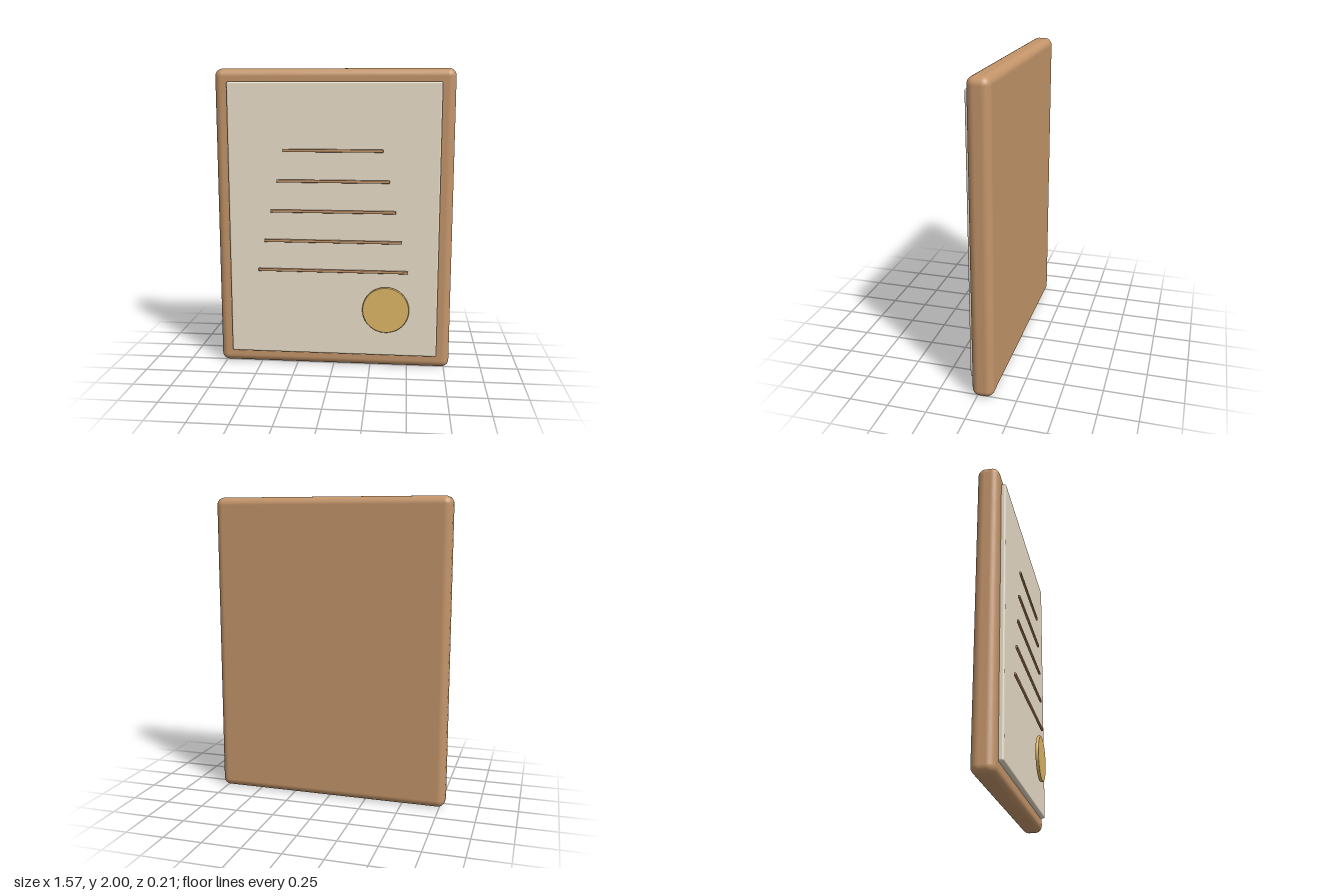
import * as THREE from 'three';
import { RoundedBoxGeometry } from 'three/addons/geometries/RoundedBoxGeometry.js';

const material = (color) => new THREE.MeshStandardMaterial({ color });

function slab(name, w, h, d, radius, mat, y, z, segments = 4) {
  const mesh = new THREE.Mesh(new RoundedBoxGeometry(w, h, d, segments, radius), mat);
  mesh.name = name;
  mesh.position.set(0, y, z);
  return mesh;
}

export function createModel() {
  const group = new THREE.Group();
  group.name = 'framedCertificate';

  const wood = material(0xc4956a);
  const paper = material(0xeadfca);
  const gold = material(0xdfb867);

  // Wooden backing and the sheet on its front
  group.add(slab('frame', 1.57, 2, 0.14, 0.05, wood, 1, -0.035, 6));
  group.add(slab('paper', 1.396, 1.826, 0.04, 0.012, paper, 1.002, 0.045));

  // Five raised rules, growing wider towards the bottom
  const lines = new THREE.Group();
  lines.name = 'textLines';
  for (let i = 0; i < 5; i++) {
    lines.add(slab(`textLine${i + 1}`, 0.656 + i * 0.086, 0.02, 0.014, 0.004, wood, 1.475 - i * 0.2, 0.086, 2));
  }
  group.add(lines);

  // Round seal with a softened rim
  const r = 0.156, t = 0.01, b = 0.004;
  const disc = new THREE.CylinderGeometry(r - b, r - b, 2 * t, 64);
  const rim = new THREE.LatheGeometry([
    new THREE.Vector2(r - b, -t),
    new THREE.Vector2(r, -t + b),
    new THREE.Vector2(r, t - b),
    new THREE.Vector2(r - b, t),
  ], 64);
  const seal = new THREE.Group();
  seal.name = 'seal';
  for (const [name, geometry] of [['sealDisc', disc], ['sealRim', rim]]) {
    const mesh = new THREE.Mesh(geometry, gold);
    mesh.name = name;
    seal.add(mesh);
  }
  seal.rotation.x = Math.PI / 2;
  seal.position.set(0.355, 0.418, 0.095);
  group.add(seal);

  return group;
}
